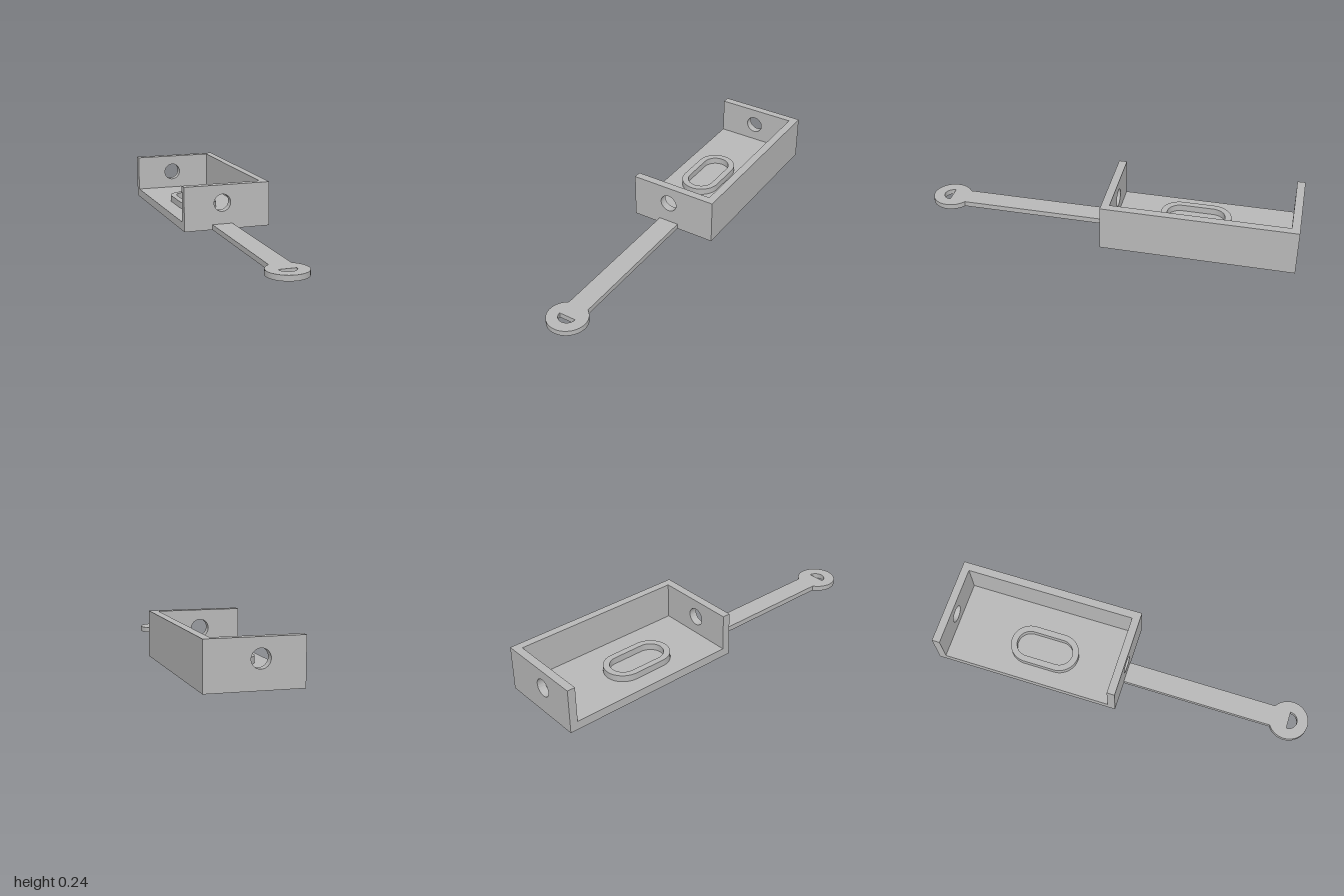
import * as THREE from 'three';
import { toCreasedNormals } from 'three/addons/utils/BufferGeometryUtils.js';

export function createModel() {
  const model = new THREE.Group();
  const grey = new THREE.MeshStandardMaterial({ color: 0xb8b8b8 });
  grey.name = 'matte grey';

  const X0 = -0.24, X1 = 0.236, H = 0.24, WALL = 0.042, FLOOR = 0.046;
  const AXIS = -0.029; // x of the arm and the round holes

  const add = (name, geometry, x, y, z) => {
    const mesh = new THREE.Mesh(geometry, grey);
    mesh.name = name;
    mesh.position.set(x, y, z);
    model.add(mesh);
  };
  const extrude = (shape, depth) => toCreasedNormals(
    new THREE.ExtrudeGeometry(shape, { depth, bevelEnabled: false, curveSegments: 32 }), 0.5);
  // Plan shapes are drawn with y = -z and stand upright after the turn
  const plan = (shape, height) => extrude(shape, height).rotateX(-Math.PI / 2);

  // Tray: floor and the closed long side
  add('floor', new THREE.BoxGeometry(X1 - X0, FLOOR, 1), (X0 + X1) / 2, FLOOR / 2, -0.5);
  add('sideWall', new THREE.BoxGeometry(WALL, H - FLOOR, 1 - 2 * WALL),
    X1 - WALL / 2, (H + FLOOR) / 2, -0.5);

  // End walls, each with a round hole
  const wall = new THREE.Shape();
  wall.moveTo(X0, FLOOR).lineTo(X1, FLOOR).lineTo(X1, H).lineTo(X0, H).closePath();
  wall.holes.push(new THREE.Path().absarc(AXIS, 0.143, 0.0465, 0, Math.PI * 2, true));
  const wallGeometry = extrude(wall, WALL);
  add('frontWall', wallGeometry, 0, 0, -WALL);
  add('backWall', wallGeometry, 0, 0, -1);

  // Raised oval rim on the floor
  const stadium = (path, r, half) => {
    path.absarc(0, half, r, 0, Math.PI, false);
    path.absarc(0, -half, r, Math.PI, Math.PI * 2, false);
    path.closePath();
    return path;
  };
  const rim = stadium(new THREE.Shape(), 0.104, 0.083);
  rim.holes.push(stadium(new THREE.Path(), 0.071, 0.083));
  add('ovalRim', plan(rim, 0.035), -0.05, FLOOR, -0.456);

  // Flat arm ending in a round eye with a half-moon opening
  const w = 0.056, R = 0.104, cy = -0.896, a = Math.acos(w / R);
  const arm = new THREE.Shape();
  arm.moveTo(w, 0).lineTo(-w, 0);
  arm.absarc(0, cy, R, Math.PI - a, Math.PI * 2 + a, false);
  arm.closePath();
  const opening = new THREE.Path();
  opening.absarc(0, cy, 0.046, Math.PI, Math.PI * 2, false);
  opening.closePath();
  arm.holes.push(opening);
  add('armWithEye', plan(arm, 0.028), AXIS, 0, 0);

  return model;
}
